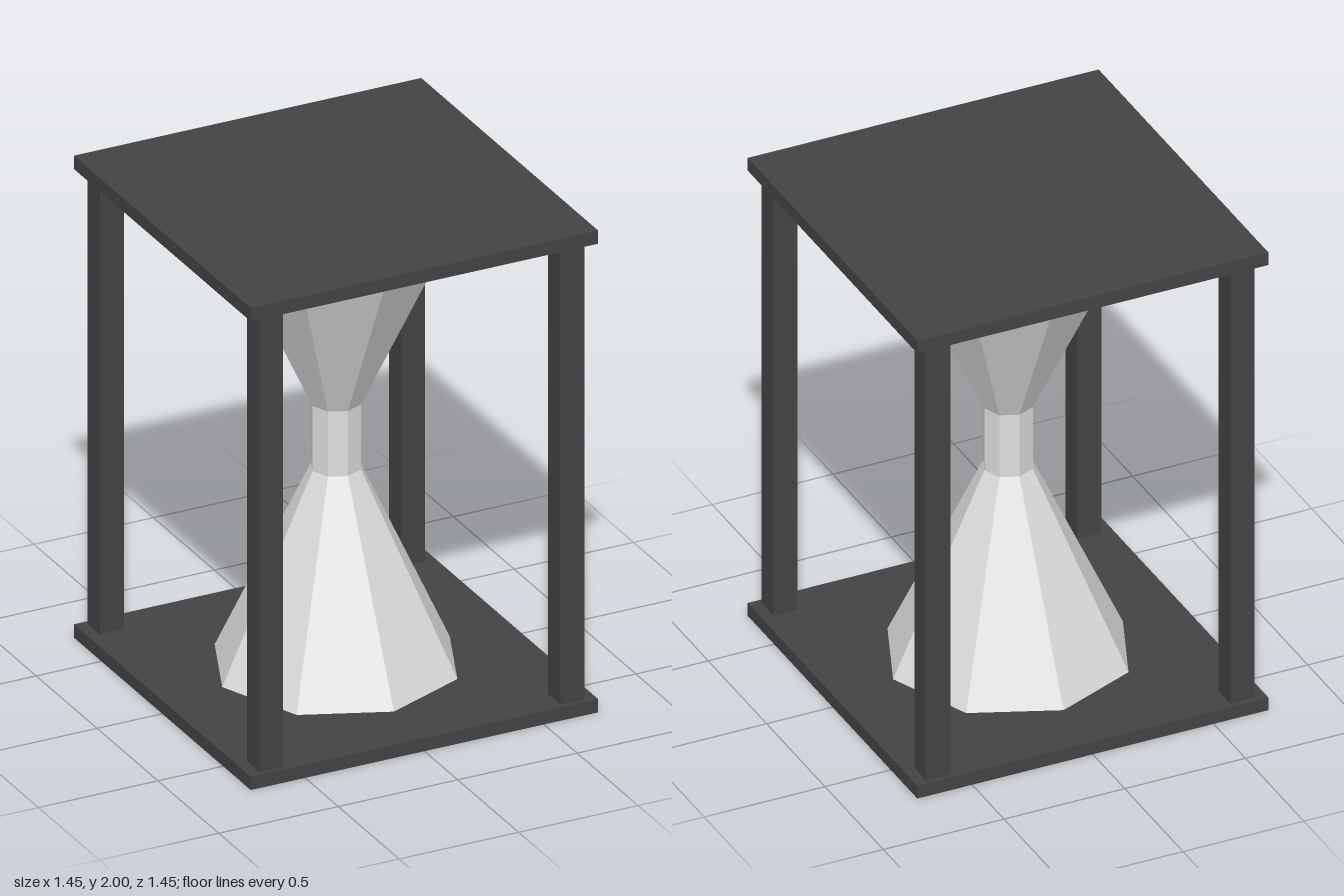
import * as THREE from 'three';

export function createModel() {
  const model = new THREE.Group();
  model.name = 'hourglass';

  const frameMat = new THREE.MeshStandardMaterial({ color: 0x434343, flatShading: true });
  frameMat.name = 'dark frame';
  const glassMat = new THREE.MeshStandardMaterial({ color: 0xdedede, flatShading: true });
  glassMat.name = 'pale glass';

  const add = (name, geometry, material, x, y, z) => {
    const mesh = new THREE.Mesh(geometry, material);
    mesh.name = name;
    mesh.position.set(x, y, z);
    model.add(mesh);
  };

  // Square plates at the bottom and top
  const size = 1.454, thick = 0.055;
  const plate = new THREE.BoxGeometry(size, thick, size);
  add('basePlate', plate, frameMat, 0, thick / 2, 0);
  add('topPlate', plate, frameMat, 0, 2 - thick / 2, 0);

  // Four square corner posts between the plates
  const post = new THREE.BoxGeometry(0.1, 2 - 2 * thick, 0.1);
  for (const [side, x] of [['Left', 0.63], ['Right', -0.63]]) {
    for (const [end, z] of [['front', 0.655], ['back', -0.655]]) {
      add(`${end}${side}Post`, post, frameMat, x, 1, z);
    }
  }

  // Eight-sided glass: two flared bulbs joined by a straight neck
  const profile = [[0.476, thick], [0.098, 0.868], [0.098, 1.138], [0.476, 2 - thick]]
    .map(([r, y]) => new THREE.Vector2(r, y));
  add('glassBulbs', new THREE.LatheGeometry(profile, 8), glassMat, 0, 0, 0);

  return model;
}
